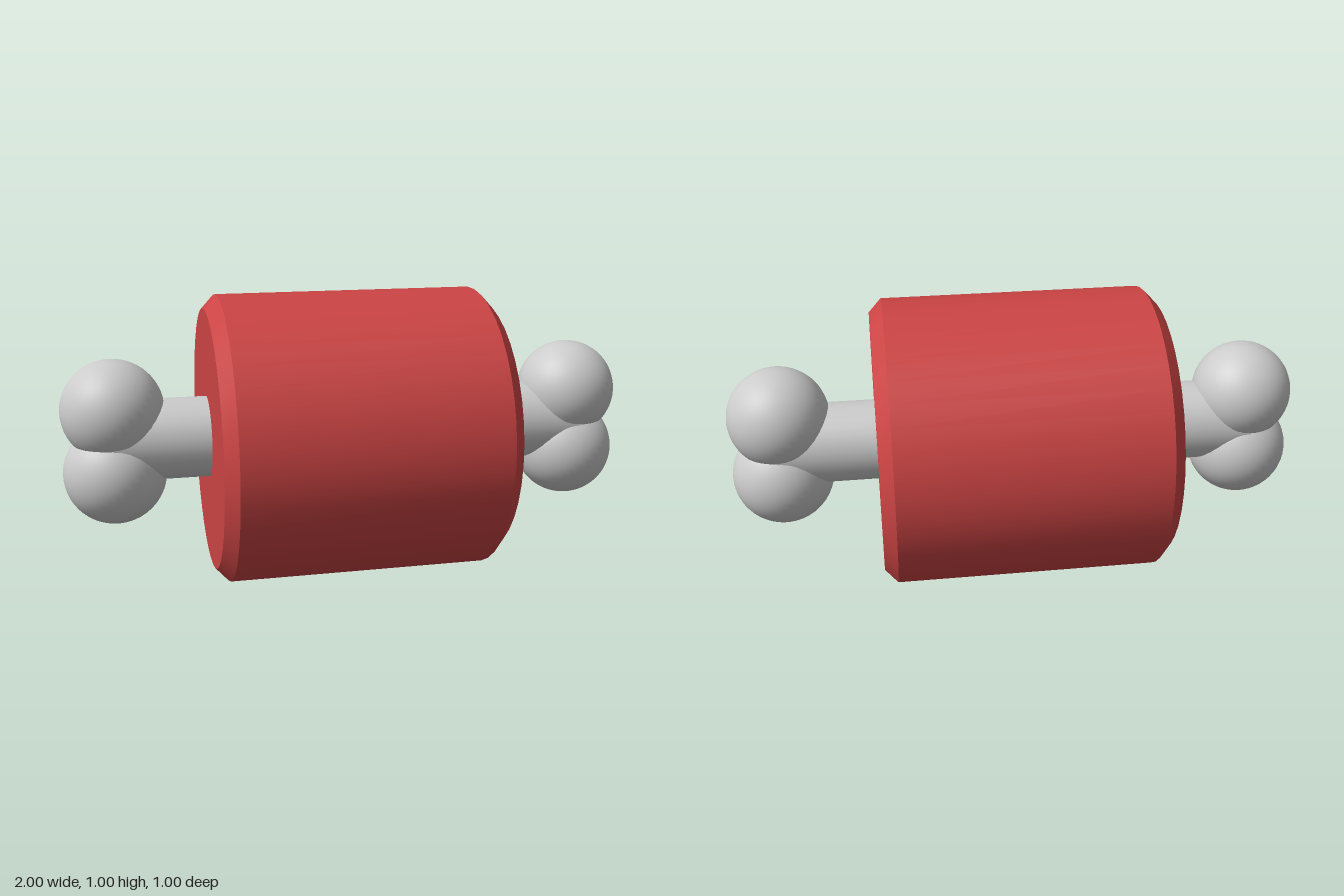
import * as THREE from 'three';
import { toCreasedNormals } from 'three/addons/utils/BufferGeometryUtils.js';

const SIDES = 40;

export function createModel() {
  const model = new THREE.Group();
  model.name = 'rollerWithKnobbedEnds';
  const red = new THREE.MeshStandardMaterial({ color: 0xcc4444 });
  const grey = new THREE.MeshStandardMaterial({ color: 0xcccccc });

  const add = (name, geometry, material, x, y, z = 0) => {
    const mesh = new THREE.Mesh(geometry, material);
    mesh.name = name;
    mesh.position.set(x, y, z);
    model.add(mesh);
  };

  // Chamfered drum lying along x, resting on a flat facet
  const profile = [[0, -0.497], [0.453, -0.497], [0.5, -0.453], [0.5, 0.453], [0.453, 0.497], [0, 0.497]]
    .map(([r, h]) => new THREE.Vector2(r, h));
  const drum = new THREE.LatheGeometry(profile, SIDES, Math.PI / SIDES).rotateZ(-Math.PI / 2);
  add('drum', toCreasedNormals(drum, Math.PI / 6), red, -0.005, 0.4985);

  // Axle stub and a pair of merged knobs at each end
  const stub = new THREE.CylinderGeometry(0.14, 0.14, 0.37, 32).rotateZ(Math.PI / 2);
  const knob = new THREE.SphereGeometry(0.176, 40, 28);
  for (const side of [1, -1]) {
    const end = side > 0 ? 'left' : 'right';
    add(end + 'Axle', stub, grey, side * 0.645, 0.508);
    add(end + 'UpperKnob', knob, grey, side * 0.824, 0.616);
    add(end + 'LowerKnob', knob, grey, side * 0.824, 0.397);
  }

  return model;
}
